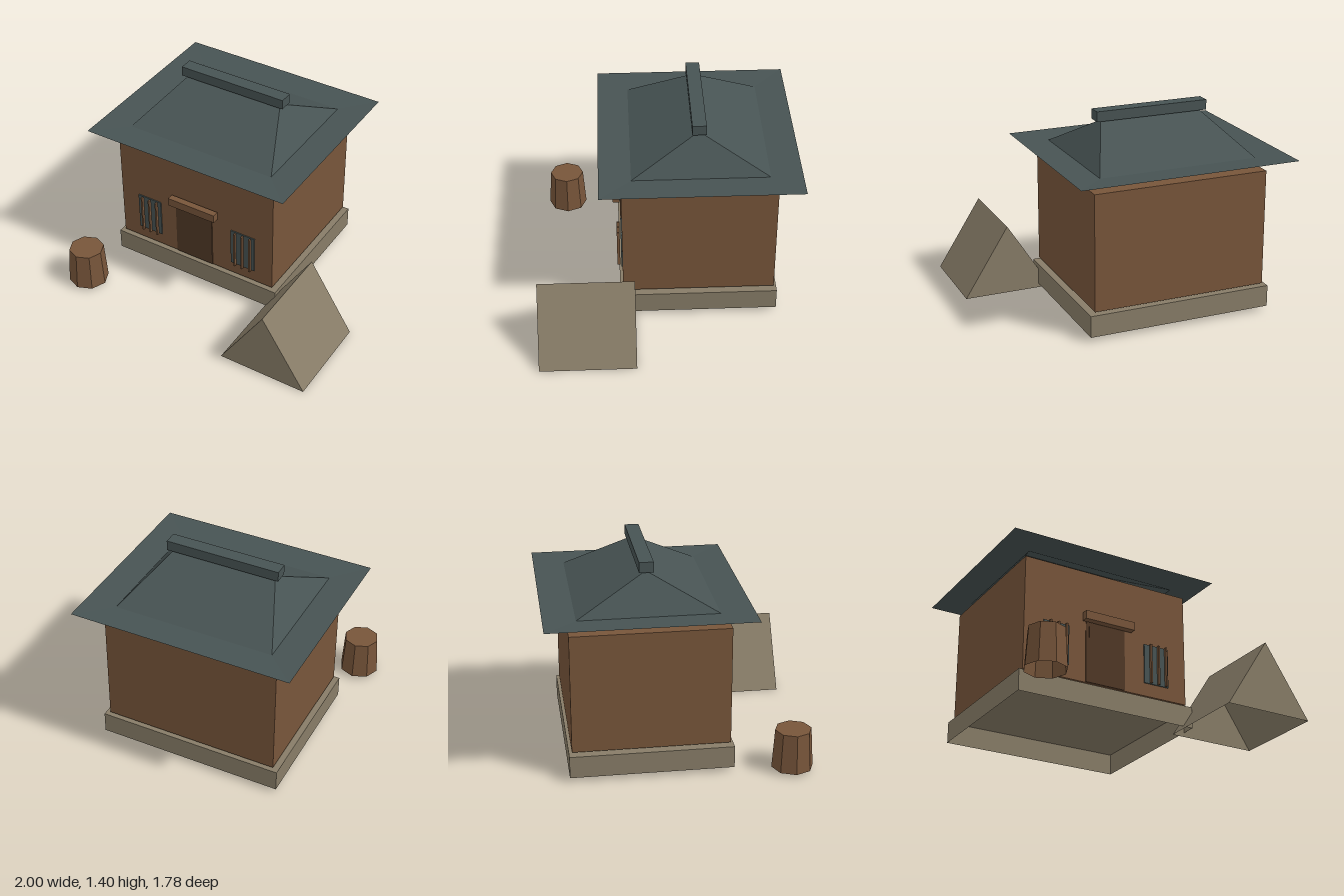
import * as THREE from 'three';

const mat = (name, color) =>
  new THREE.MeshStandardMaterial({ name, color, side: THREE.DoubleSide, flatShading: true });

export function createModel() {
  const wood = mat('wood', 0x77553a);
  const darkWood = mat('darkWood', 0x503826);
  const stone = mat('stone', 0x877c67);
  const slate = mat('slate', 0x475353);

  const model = new THREE.Group();
  model.name = 'hut';

  function add(name, geometry, material, parent = model) {
    const mesh = new THREE.Mesh(geometry, material);
    mesh.name = name;
    parent.add(mesh);
    return mesh;
  }

  // Box given by its extents, optionally without its underside
  function box(x0, x1, y0, y1, z0, z1, openBottom = false) {
    const g = new THREE.BoxGeometry(x1 - x0, y1 - y0, z1 - z0);
    g.translate((x0 + x1) / 2, (y0 + y1) / 2, (z0 + z1) / 2);
    if (openBottom) {
      const index = Array.from(g.index.array);
      index.splice(18, 6);
      g.setIndex(index);
      g.clearGroups();
    }
    return g;
  }

  // Open shell through rectangular rings [y, x0, x1, z0, z1]
  function rectLoft(rings) {
    const loops = rings.map(([y, x0, x1, z0, z1]) =>
      [[x0, z1], [x1, z1], [x1, z0], [x0, z0]].map(([x, z]) => new THREE.Vector3(x, y, z)));
    const points = [];
    const tri = (a, b, c) => {
      if (!a.equals(b) && !b.equals(c) && !c.equals(a)) points.push(a, b, c);
    };
    for (let r = 0; r < loops.length - 1; r++) {
      for (let i = 0; i < 4; i++) {
        const j = (i + 1) % 4, lo = loops[r], hi = loops[r + 1];
        tri(lo[i], lo[j], hi[j]);
        tri(lo[i], hi[j], hi[i]);
      }
    }
    const g = new THREE.BufferGeometry().setFromPoints(points);
    g.computeVertexNormals();
    return g;
  }

  // Foundation and walls
  add('foundation', box(-0.85, 0.457, 0.03, 0.18, -0.752, 0.335, true), stone);
  add('walls', box(-0.815, 0.42, 0.197, 1.005, -0.733, 0.314), wood);

  // Hipped roof with shallow upturned eaves, and ridge cap
  const roof = new THREE.Group();
  roof.name = 'roof';
  model.add(roof);
  const inner = [1.088, -0.757, 0.36, -0.68, 0.245];
  add('eaves', rectLoft([[1.1, -0.97, 0.573, -0.893, 0.462], inner]), slate, roof);
  add('hips', rectLoft([inner, [1.33, -0.56, 0.16, -0.212, -0.212]]), slate, roof);
  add('ridgeCap', box(-0.6, 0.204, 1.33, 1.4, -0.26, -0.165), slate, roof);

  // Door with its jamb and lintel
  const entrance = new THREE.Group();
  entrance.name = 'entrance';
  model.add(entrance);
  add('door', box(-0.335, -0.062, 0.2, 0.63, 0.314, 0.321), darkWood, entrance);
  add('doorJamb', box(-0.358, -0.335, 0.2, 0.63, 0.314, 0.32), darkWood, entrance);
  add('lintel', box(-0.385, -0.012, 0.63, 0.69, 0.324, 0.371), wood, entrance);

  // Barred windows
  for (const [name, x] of [['rightWindow', -0.58], ['leftWindow', 0.186]]) {
    const win = new THREE.Group();
    win.name = name;
    model.add(win);
    add('pane', box(x - 0.094, x + 0.094, 0.29, 0.573, 0.314, 0.322), slate, win);
    for (let i = -1; i <= 1; i++) {
      const bx = x + 0.008 + i * 0.059;
      add('bar', box(bx - 0.006, bx + 0.006, 0.29, 0.573, 0.329, 0.349), wood, win);
    }
  }

  // Ridge tent, open underneath
  add('tent', rectLoft([[0, 0.365, 0.997, 0.235, 0.89], [0.495, 0.681, 0.681, 0.235, 0.89]]), stone);

  // Eight-sided tapered barrel with a lid, open underneath
  const barrel = new THREE.Group();
  barrel.name = 'barrel';
  barrel.position.set(-0.86, 0.155, 0.72);
  model.add(barrel);
  add('barrelStaves', new THREE.CylinderGeometry(0.122, 0.14, 0.27, 8, 1, true), wood, barrel);
  const lid = add('barrelLid', new THREE.CircleGeometry(0.122, 8).rotateX(-Math.PI / 2), wood, barrel);
  lid.position.y = 0.135;

  return model;
}
